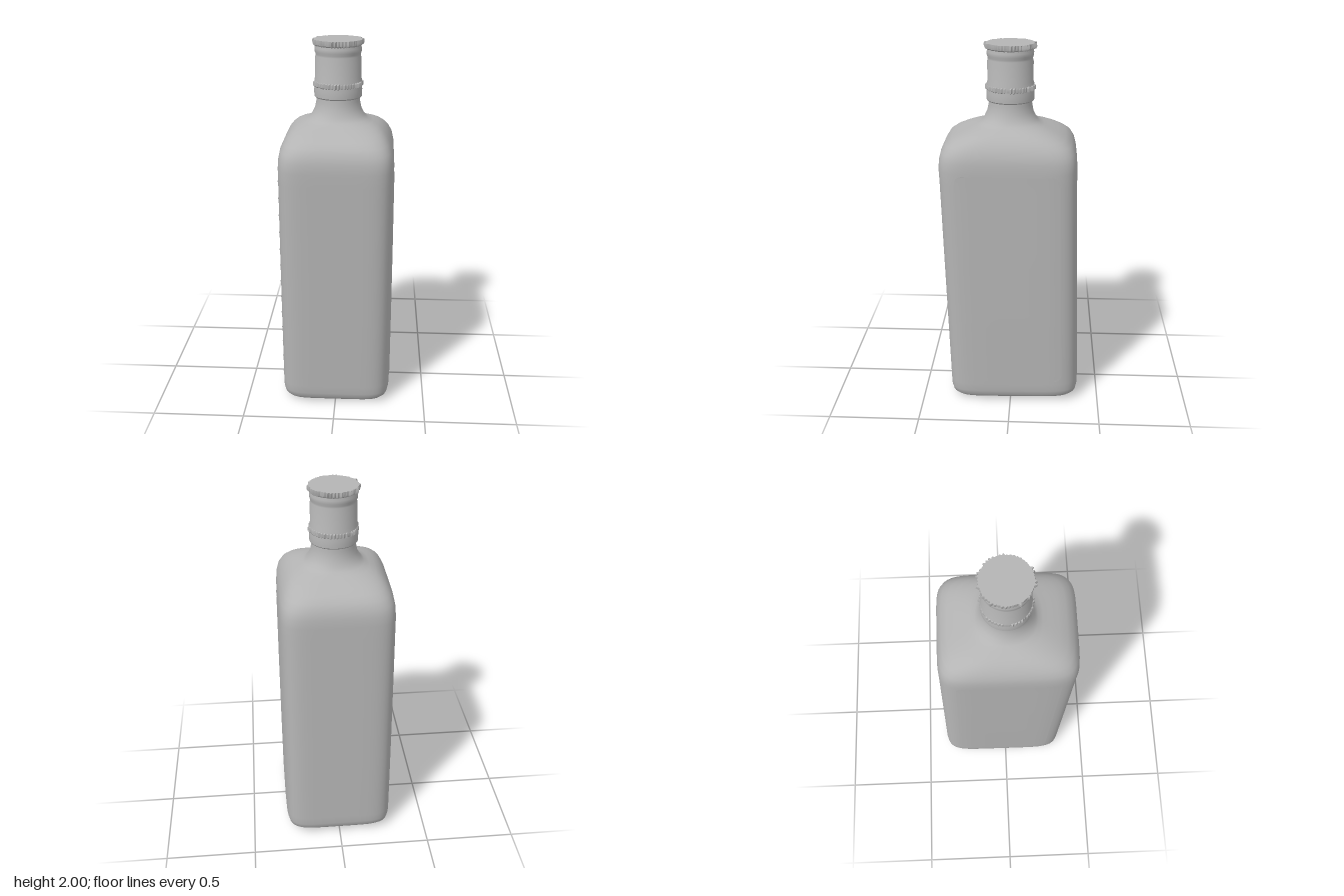
import * as THREE from 'three';
import { toCreasedNormals } from 'three/addons/utils/BufferGeometryUtils.js';

// Body sections: [height, half width, half depth, z centre, corner squareness]
const SECTIONS = [
  [0.003, 0.001, 0.001, -0.02, 6], [0.003, 0.14, 0.18, -0.02, 6], [0.003, 0.235, 0.295, -0.02, 6],
  [0.008, 0.262, 0.322, -0.02, 6], [0.02, 0.285, 0.346, -0.02, 6.3], [0.037, 0.298, 0.36, -0.02, 6.5],
  [0.065, 0.304, 0.366, -0.019, 6.5], [0.11, 0.305, 0.367, -0.018, 6.5], [0.5, 0.306, 0.367, -0.007, 6.5],
  [0.9, 0.306, 0.367, 0.004, 6.5], [1.3, 0.305, 0.367, 0.015, 6.5], [1.37, 0.305, 0.368, 0.017, 6.5],
  [1.42, 0.302, 0.365, 0.017, 6.2], [1.46, 0.294, 0.355, 0.017, 5.8], [1.495, 0.277, 0.335, 0.016, 5.2],
  [1.52, 0.259, 0.303, 0.015, 4.6], [1.54, 0.24, 0.262, 0.014, 4.2], [1.558, 0.216, 0.218, 0.013, 3.6],
  [1.572, 0.186, 0.182, 0.012, 2.9], [1.585, 0.16, 0.158, 0.012, 2.4], [1.605, 0.141, 0.141, 0.012, 2.1],
  [1.64, 0.124, 0.124, 0.012, 2], [1.68, 0.116, 0.116, 0.011, 2], [1.72, 0.114, 0.114, 0.011, 2],
];
const CAP_Z = 0.011;

// The foot leans back a little; the lean fades towards the shoulder
const lean = (y, z) => y + (0.006 - 0.02 * z) * Math.max(0, 1 - y / 1.45);

// Surface from closed rings; point(row, column, angle) gives [x, y, z]
function loft(rows, cols, point) {
  const pos = [], index = [];
  for (let i = 0; i < rows; i++)
    for (let j = 0; j < cols; j++) {
      pos.push(...point(i, j, (j / cols) * Math.PI * 2));
      if (i === rows - 1) continue;
      const a = i * cols + j, b = i * cols + ((j + 1) % cols);
      index.push(a, a + cols, b, b, a + cols, b + cols);
    }
  return finish(pos, index);
}

function finish(pos, index) {
  const g = new THREE.BufferGeometry();
  g.setAttribute('position', new THREE.Float32BufferAttribute(pos, 3));
  g.setIndex(index);
  g.computeVertexNormals();
  return g;
}

function sectionAt(y) {
  let i = 1;
  while (i < SECTIONS.length - 1 && SECTIONS[i + 1][0] < y) i++;
  const p = SECTIONS[i], q = SECTIONS[i + 1];
  const t = (y - p[0]) / (q[0] - p[0]);
  return p.map((v, k) => v + (q[k] - v) * t);
}

function bodyGeometry() {
  return loft(SECTIONS.length, 128, (i, j, t) => {
    const [y, a, b, c, n] = SECTIONS[i];
    const cos = Math.cos(t), sin = Math.sin(t);
    const r = Math.pow(Math.pow(Math.abs(cos) / a, n) + Math.pow(Math.abs(sin) / b, n), -1 / n);
    const z = c + r * sin;
    return [r * cos, lean(y, z), z];
  });
}

// Thin rounded panel that follows the curved side of the body
function panelGeometry(side) {
  const pos = [], index = [], nu = 20, nv = 40, r = 0.04, y0 = 0.13, y1 = 1.36;
  for (let i = 0; i <= nv; i++) {
    const s = (1 - Math.cos((i / nv) * Math.PI)) / 2;
    const y = y0 + (y1 - y0) * s;
    const d = Math.max(0, r - Math.min(y - y0, y1 - y));
    const half = 0.275 - r + Math.sqrt(Math.max(0, r * r - d * d));
    const [, a, b, c, n] = sectionAt(y);
    for (let j = 0; j <= nu; j++) {
      const dz = half * ((2 * j) / nu - 1);
      const x = a * Math.pow(1 - Math.pow(Math.abs(dz) / b, n), 1 / n) + 0.002;
      pos.push(side * x, lean(y, c + dz), c + dz);
      if (i === nv || j === nu) continue;
      const p = i * (nu + 1) + j, q = p + nu + 1;
      if (side > 0) index.push(p, q, p + 1, p + 1, q, q + 1);
      else index.push(p, p + 1, q, p + 1, q + 1, q);
    }
  }
  return finish(pos, index);
}

// Ring with irregular teeth; rows are [radius, height, tooth strength]
function toothedRing(rows, cols, seed, depth) {
  const random = () => {
    seed = (seed * 16807) % 2147483647;
    return seed / 2147483647;
  };
  const teeth = Array.from({ length: cols }, (_, j) => (j % 2 ? depth * random() : 0));
  const g = loft(rows.length, cols, (i, j, t) => {
    const r = rows[i][0] + rows[i][2] * teeth[j];
    return [r * Math.cos(t), rows[i][1], r * Math.sin(t)];
  });
  return toCreasedNormals(g, 0.4);
}

export function createModel() {
  const model = new THREE.Group();
  model.name = 'bottle';
  const grey = new THREE.MeshStandardMaterial({ color: 0xb4b4b4 });
  grey.name = 'plain grey';
  const add = (parent, name, geometry) => {
    const mesh = new THREE.Mesh(geometry, grey);
    mesh.name = name;
    parent.add(mesh);
  };

  add(model, 'body', bodyGeometry());
  add(model, 'leftPanel', panelGeometry(1));
  add(model, 'rightPanel', panelGeometry(-1));

  const cap = new THREE.Group();
  cap.name = 'cap';
  cap.position.z = CAP_Z;
  model.add(cap);

  // Sleeve with a lower collar and a slight groove under the crown
  const profile = [
    [0.11, 1.697], [0.122, 1.697], [0.127, 1.703], [0.128, 1.74], [0.126, 1.75], [0.126, 1.79],
    [0.122, 1.8], [0.122, 1.905], [0.119, 1.915], [0.119, 1.925], [0.124, 1.937],
    [0.124, 1.955], [0.12, 1.967], [0.12, 1.985],
  ].map(([r, y]) => new THREE.Vector2(r, y));
  add(cap, 'sleeve', toCreasedNormals(new THREE.LatheGeometry(profile, 64), 0.5));

  add(cap, 'knurledBand', toothedRing(
    [[0.124, 1.752, 0], [0.126, 1.759, 1], [0.126, 1.778, 1], [0.124, 1.786, 0]], 96, 71, 0.011));

  // Jagged crown closed by a flat top
  add(cap, 'crown', toothedRing(
    [[0.118, 1.966, 0], [0.125, 1.974, 0.8], [0.127, 1.985, 1], [0.127, 2, 0.8], [0.12, 2, 0], [0.0005, 2, 0]],
    96, 2024, 0.017));

  return model;
}
